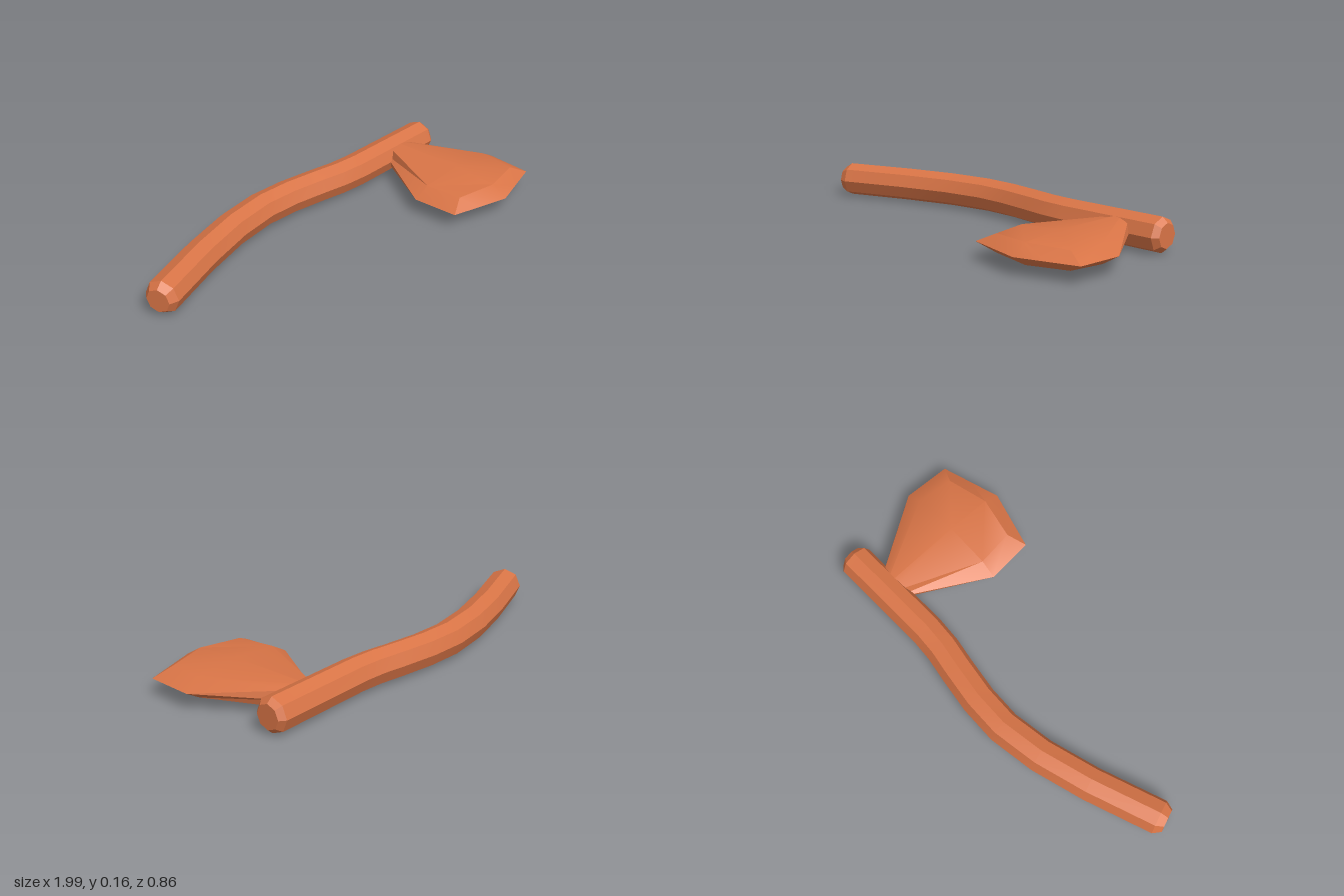
import * as THREE from 'three';
import { toCreasedNormals } from 'three/addons/utils/BufferGeometryUtils.js';

const MID = 0.082; // height of the plane of symmetry

// Skin closed cross-sections (arrays of Vector3) with outward faces.
function loft(rows) {
  const pos = [];
  const tri = (a, b, c) => {
    const area = b.clone().sub(a).cross(c.clone().sub(a)).length();
    if (area > 1e-8) for (const p of [a, b, c]) pos.push(p.x, p.y, p.z);
  };
  for (let i = 0; i < rows.length - 1; i++) {
    const n = rows[i].length;
    for (let j = 0; j < n; j++) {
      const k = (j + 1) % n;
      tri(rows[i][j], rows[i + 1][j], rows[i + 1][k]);
      tri(rows[i][j], rows[i + 1][k], rows[i][k]);
    }
  }
  const g = new THREE.BufferGeometry();
  g.setAttribute('position', new THREE.Float32BufferAttribute(pos, 3));
  return toCreasedNormals(g, THREE.MathUtils.degToRad(29));
}

// Curved octagonal handle with bevelled ends: [x, z, radius]
function handleGeometry() {
  const path = [
    [-0.975, -0.137, 0], [-0.975, -0.137, 0.056], [-0.94, -0.149, 0.081],
    [-0.623, -0.259, 0.081], [-0.377, -0.326, 0.081], [-0.163, -0.356, 0.081],
    [0.008, -0.348, 0.081], [0.179, -0.321, 0.081], [0.302, -0.298, 0.081],
    [0.42, -0.288, 0.081], [0.918, -0.288, 0.081], [0.945, -0.288, 0.058],
    [0.945, -0.288, 0],
  ];
  const rows = path.map(([x, z, r], i) => {
    const a = path[Math.max(i - 1, 0)], b = path[Math.min(i + 1, path.length - 1)];
    const t = new THREE.Vector2(b[0] - a[0], b[1] - a[1]).normalize();
    return Array.from({ length: 8 }, (_, j) => {
      const ang = (j * Math.PI) / 4, c = r * Math.cos(ang);
      return new THREE.Vector3(x - t.y * c, MID + r * Math.sin(ang), z + t.x * c);
    });
  });
  return loft(rows);
}

// Wedge-shaped head: each row gives rim [x, z], shoulder [x, y, z], ridge [y, z]
function bladeGeometry() {
  const sections = [
    { rim: [0.05, -0.29], shoulder: [0.036, 0.045, -0.29], ridge: [0.057, -0.29] },
    { rim: [0.298, 0.12], shoulder: [0.22, 0.046, 0.125], ridge: [0.063, 0.13] },
    { rim: [0.284, 0.345], shoulder: [0.2, 0.042, 0.305], ridge: [0.048, 0.35] },
    { rim: [0.284, 0.345], shoulder: [0.142, 0, 0.386], ridge: [0, 0.427] },
  ];
  const v = (x, y, z) => new THREE.Vector3(0.702 + x, MID + y, z);
  return loft(sections.map(({ rim: [rx, rz], shoulder: [sx, sy, sz], ridge: [cy, cz] }) => [
    v(-rx, 0, rz), v(-sx, sy, sz), v(0, cy, cz), v(sx, sy, sz),
    v(rx, 0, rz), v(sx, -sy, sz), v(0, -cy, cz), v(-sx, -sy, sz),
  ]));
}

export function createModel() {
  const group = new THREE.Group();
  group.name = 'axe';
  const clay = new THREE.MeshStandardMaterial({ color: 0xd87446 });
  clay.name = 'terracotta';

  const handle = new THREE.Mesh(handleGeometry(), clay);
  handle.name = 'handle';
  const blade = new THREE.Mesh(bladeGeometry(), clay);
  blade.name = 'blade';
  group.add(handle, blade);
  return group;
}
